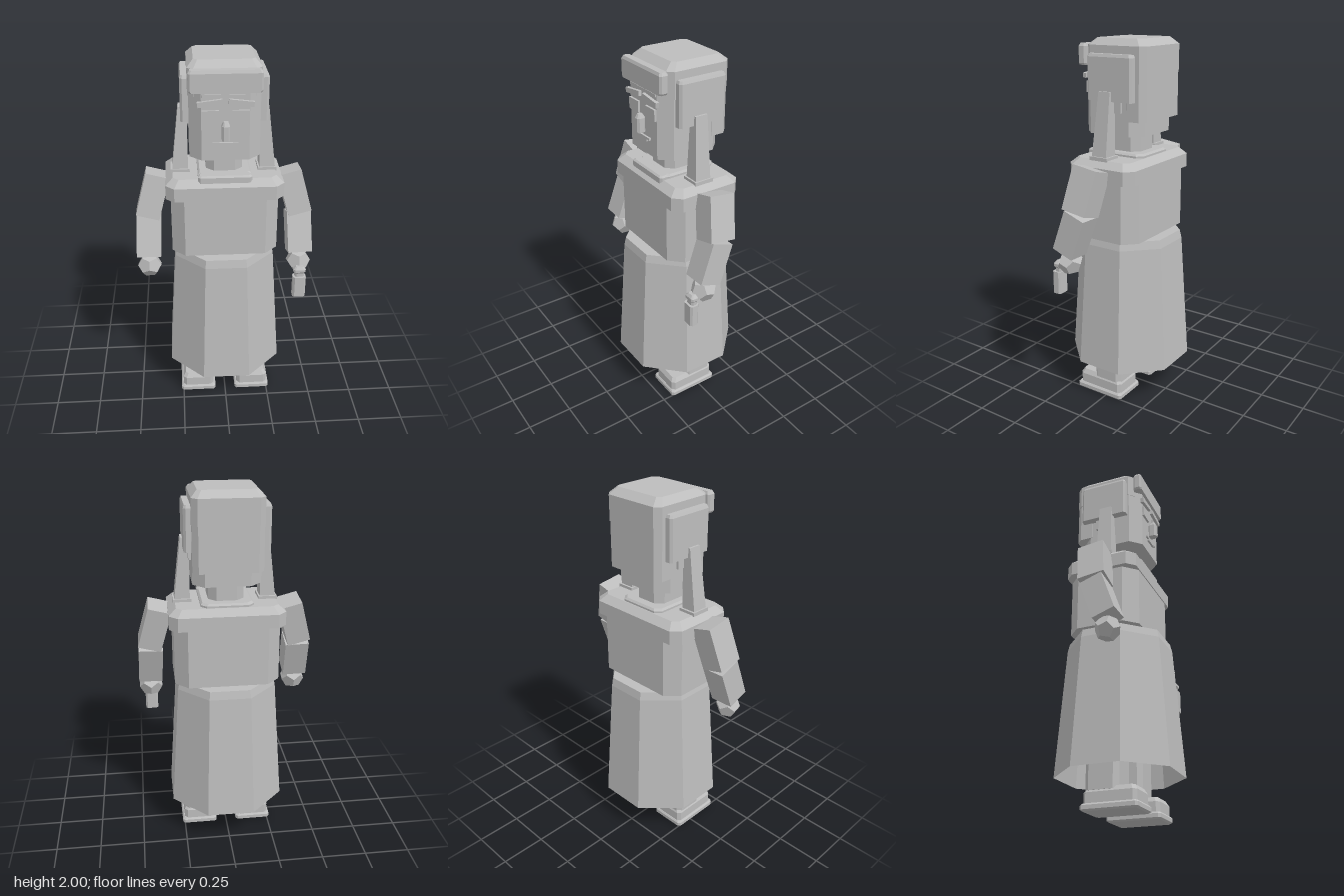
import * as THREE from 'three';

// Double sided because the skirt is an open shell
const stone = new THREE.MeshStandardMaterial({ color: 0xbdbdbd, side: THREE.DoubleSide });
stone.name = 'stone grey';

// Chamfered block lofted through rings of [y, halfX, halfZ, cornerCut]
function block(name, rings, x = 0, z = 0, openBottom = false) {
  const loops = rings.map(([y, a, b, c]) => [
    [a, -b + c], [a, b - c], [a - c, b], [-a + c, b],
    [-a, b - c], [-a, -b + c], [-a + c, -b], [a - c, -b],
  ].map(([px, pz]) => [px, y, pz]));
  const pos = [];
  const tri = (...p) => p.forEach((q) => pos.push(...q));
  for (let r = 0; r < loops.length - 1; r++) {
    const lo = loops[r], hi = loops[r + 1];
    for (let i = 0; i < 8; i++) {
      const j = (i + 1) % 8;
      tri(lo[i], hi[i], lo[j]);
      tri(lo[j], hi[i], hi[j]);
    }
  }
  const bottom = loops[0], top = loops[loops.length - 1];
  for (let i = 1; i < 7; i++) {
    tri(top[0], top[i + 1], top[i]);
    if (!openBottom) tri(bottom[0], bottom[i], bottom[i + 1]);
  }
  const geo = new THREE.BufferGeometry();
  geo.setAttribute('position', new THREE.Float32BufferAttribute(pos, 3));
  geo.computeVertexNormals();
  const mesh = new THREE.Mesh(geo, stone);
  mesh.name = name;
  mesh.position.set(x, 0, z);
  return mesh;
}

// Plain box from its size and centre
function box(name, size, centre, tilt = 0) {
  const mesh = new THREE.Mesh(new THREE.BoxGeometry(...size), stone);
  mesh.name = name;
  mesh.position.set(...centre);
  mesh.rotation.z = tilt;
  return mesh;
}

// Box limb running between two points
function limb(name, from, to, width, depth) {
  const a = new THREE.Vector3(...from), b = new THREE.Vector3(...to);
  const dir = a.clone().sub(b);
  const mesh = new THREE.Mesh(new THREE.BoxGeometry(width, dir.length(), depth), stone);
  mesh.name = name;
  mesh.position.copy(a).add(b).multiplyScalar(0.5);
  mesh.quaternion.setFromUnitVectors(new THREE.Vector3(0, 1, 0), dir.normalize());
  return mesh;
}

export function createModel() {
  const model = new THREE.Group();
  model.name = 'robedFigure';

  // Robe, torso and shoulders
  model.add(
    block('skirt', [[0.207, 0.317, 0.317, 0.186], [0.915, 0.27, 0.27, 0.158], [0.96, 0.26, 0.26, 0.152]], 0, 0, true),
    block('torso', [[0.96, 0.285, 0.2, 0.07], [1.3, 0.285, 0.2, 0.07]]),
    block('shoulderYoke', [[1.285, 0.31, 0.205, 0.045], [1.36, 0.31, 0.205, 0.045], [1.395, 0.27, 0.165, 0.03]]),
    block('collar', [[1.39, 0.14, 0.16, 0.03], [1.405, 0.14, 0.16, 0.03], [1.415, 0.13, 0.15, 0.03]]),
    block('collarFront', [[1.375, 0.14, 0.03, 0.012], [1.408, 0.14, 0.03, 0.012], [1.416, 0.13, 0.02, 0.01]], 0, 0.155),
    block('neck', [[1.39, 0.095, 0.105, 0.04], [1.53, 0.095, 0.105, 0.04]]),
  );

  // Head and hair
  model.add(
    block('head', [[1.51, 0.18, 0.18, 0.06], [1.9, 0.18, 0.18, 0.06]], 0, 0.01),
    block('hairCap', [[1.83, 0.185, 0.181, 0.03], [1.965, 0.185, 0.181, 0.03], [2, 0.152, 0.138, 0.02]], 0, -0.024),
    block('hairBack', [[1.59, 0.183, 0.067, 0.03], [1.85, 0.183, 0.067, 0.03]], 0, -0.136),
    block('foreheadHair', [[1.86, 0.175, 0.025, 0.01], [1.87, 0.182, 0.025, 0.01],
      [1.955, 0.182, 0.025, 0.01], [1.97, 0.172, 0.018, 0.008]], 0, 0.182),
  );

  // Face
  model.add(
    box('browRidge', [0.23, 0.015, 0.02], [0, 1.843, 0.185]),
    box('mouth', [0.13, 0.012, 0.012], [0, 1.6, 0.195]),
    box('lowerLip', [0.08, 0.012, 0.012], [0, 1.588, 0.195]),
    block('nose', [[1.625, 0.02, 0.024, 0.01], [1.7, 0.02, 0.024, 0.01], [1.72, 0.012, 0.012, 0.005]], 0, 0.212),
  );

  for (const s of [1, -1]) {
    const side = s > 0 ? 'left' : 'right';
    model.add(
      box(side + 'Brow', [0.125, 0.026, 0.02], [s * 0.077, 1.81, 0.197], -s * 0.12),
      box(side + 'Eye', [0.085, 0.06, 0.012], [s * 0.075, 1.742, 0.196]),
      block(side + 'HairPanel', [[1.69, 0.03, 0.137, 0.012], [1.91, 0.03, 0.137, 0.012],
        [1.925, 0.024, 0.13, 0.01]], s * 0.192, -0.015),
      box(side + 'HairTuft', [0.03, 0.08, 0.05], [s * 0.18, 1.67, -0.045]),
    );

    // Long lock, widening and leaning outwards towards the shoulder
    const lock = new THREE.BoxGeometry(0.045, 0.35, 0.07);
    const p = lock.attributes.position;
    for (let i = 0; i < p.count; i++) {
      if (p.getY(i) > 0) continue;
      if (p.getX(i) * s > 0) p.setX(i, p.getX(i) + s * 0.04);
      if (p.getZ(i) > 0) p.setZ(i, p.getZ(i) + 0.02);
    }
    lock.computeVertexNormals();
    const lockMesh = new THREE.Mesh(lock, stone);
    lockMesh.name = side + 'Lock';
    lockMesh.position.set(s * 0.211, 1.565, 0.004);
    model.add(lockMesh);
    model.add(box(side + 'LockEnd', [0.1, 0.02, 0.11], [s * 0.23, 1.4, 0.012]));

    // Arm and hand
    model.add(
      limb(side + 'UpperArm', [s * 0.352, 1.367, 0], [s * 0.414, 1.138, 0.033], 0.128, 0.148),
      limb(side + 'Forearm', [s * 0.408, 1.135, 0.03], [s * 0.415, 0.918, 0.107], 0.132, 0.128),
    );
    const hand = new THREE.Mesh(new THREE.DodecahedronGeometry(0.069), stone);
    hand.name = side + 'Hand';
    hand.position.set(s * 0.415, 0.858, 0.105);
    hand.rotation.x = -0.35;
    model.add(hand);

    // Leg and shoe
    model.add(
      block(side + 'Leg', [[0.1, 0.087, 0.09, 0.025], [0.4, 0.087, 0.09, 0.025]], s * 0.16),
      block(side + 'Shoe', [[0.035, 0.09, 0.14, 0.018], [0.09, 0.09, 0.14, 0.018], [0.115, 0.075, 0.125, 0.015]], s * 0.16, 0.045),
      block(side + 'Sole', [[0, 0.09, 0.138, 0.01], [0.008, 0.102, 0.15, 0.012], [0.028, 0.102, 0.15, 0.012],
        [0.037, 0.094, 0.143, 0.012]], s * 0.16, 0.045),
    );
  }

  // Small object hanging from the left hand
  model.add(
    block('hangingObject', [[0.67, 0.036, 0.026, 0.01], [0.795, 0.036, 0.026, 0.01]], 0.414, 0.179),
    block('objectNeck', [[0.795, 0.026, 0.018, 0.008], [0.815, 0.026, 0.018, 0.008],
      [0.825, 0.034, 0.024, 0.01], [0.84, 0.034, 0.024, 0.01], [0.855, 0.02, 0.012, 0.005]], 0.414, 0.175),
  );
  return model;
}
